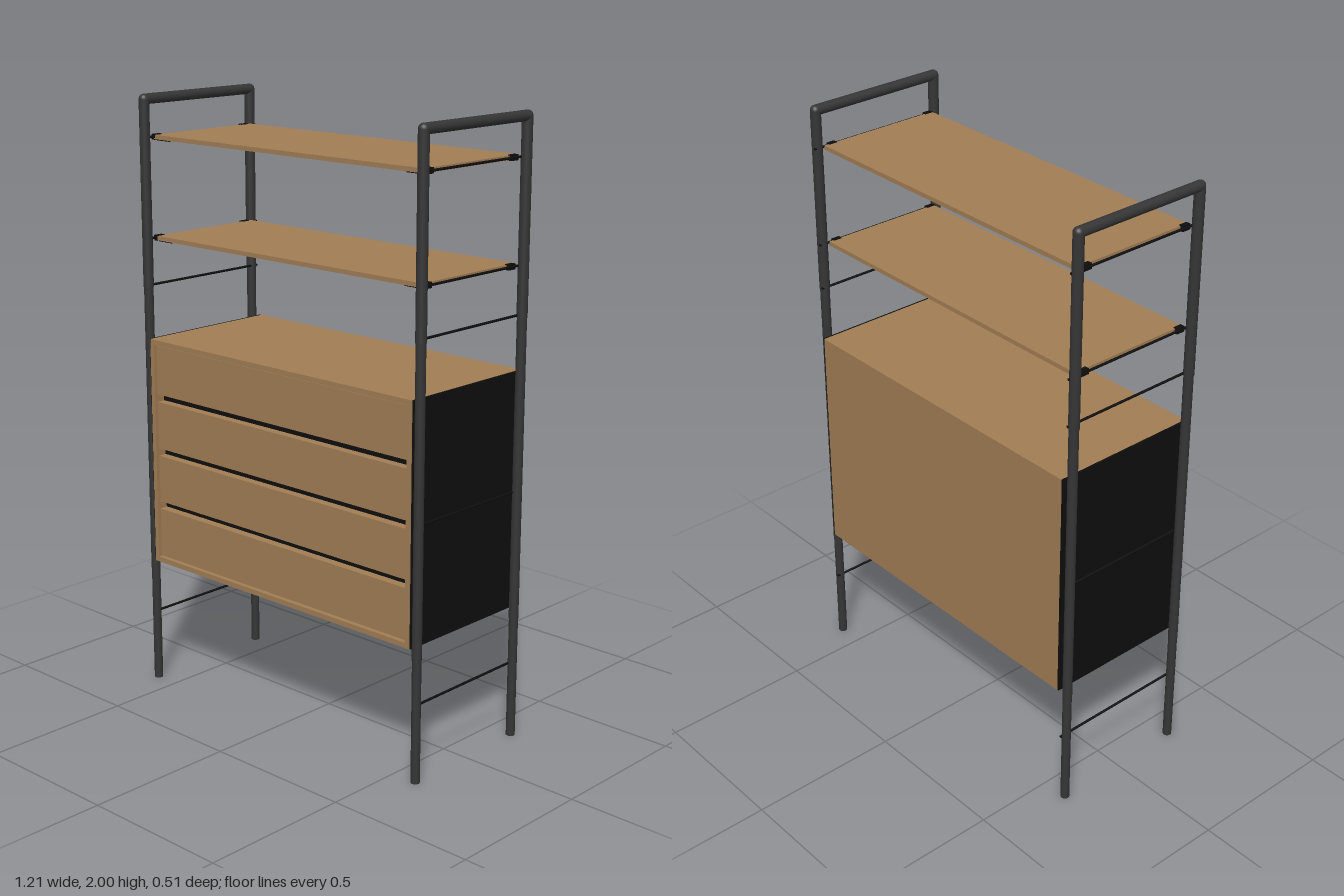
import * as THREE from 'three';

export function createModel() {
  const root = new THREE.Group();
  root.name = 'shelfUnit';
  const mat = (name, color) => {
    const m = new THREE.MeshStandardMaterial({ color });
    m.name = name;
    return m;
  };
  const wood = mat('oakWood', 0xa17d54);
  const steel = mat('darkSteel', 0x353535);
  const black = mat('blackPanel', 0x0e0e0e);

  const add = (name, geo, material, x, y, z, parent = root) => {
    const m = new THREE.Mesh(geo, material);
    m.name = name;
    m.position.set(x, y, z);
    parent.add(m);
    return m;
  };
  // Box given by its min and max corners
  const box = (name, material, x0, x1, y0, y1, z0, z1, parent) =>
    add(name, new THREE.BoxGeometry(x1 - x0, y1 - y0, z1 - z0), material,
      (x0 + x1) / 2, (y0 + y1) / 2, (z0 + z1) / 2, parent);
  // Round bar running front to back
  const barZ = (name, material, r, x, y, z0, z1, parent) => {
    const geo = new THREE.CylinderGeometry(r, r, z1 - z0, 16).rotateX(Math.PI / 2);
    return add(name, geo, material, x, y, (z0 + z1) / 2, parent);
  };

  // Side ladders: two posts, a top rail and thin rungs
  const X = 0.587, ZF = 0.238, ZB = -0.23, TOP = 1.983;
  for (const s of [-1, 1]) {
    const ladder = new THREE.Group();
    ladder.name = s > 0 ? 'leftLadder' : 'rightLadder';
    root.add(ladder);
    for (const z of [ZF, ZB]) {
      // Posts widen slightly in sections towards the top
      for (const [y0, y1, r] of [[0, 0.4, 0.0145], [0.4, 1.375, 0.0155], [1.375, TOP, 0.017]]) {
        add('post', new THREE.CylinderGeometry(r, r, y1 - y0, 20), steel, s * X, (y0 + y1) / 2, z, ladder);
      }
      add('corner', new THREE.SphereGeometry(0.017, 20, 12), steel, s * X, TOP, z, ladder);
    }
    barZ('topRail', steel, 0.017, s * X, TOP, ZB, ZF, ladder);
    for (const y of [0.248, 0.82, 1.382, 1.535, 1.862]) {
      barZ('rung', black, 0.004, s * (X - 0.009), y, -0.247, ZF, ladder);
    }
  }

  // Open shelves with small support clips at the ends
  for (const y of [1.535, 1.862]) {
    box('shelf', wood, -0.57, 0.57, y - 0.007, y + 0.007, -0.215, 0.215);
    for (const s of [-1, 1]) {
      for (const z of [-0.185, 0.2]) {
        box('shelfClip', black, s * 0.572 - 0.008, s * 0.572 + 0.008, y - 0.009, y + 0.009, z - 0.015, z + 0.015);
        box('clipPlate', black, s * 0.53 - 0.03, s * 0.53 + 0.03, y - 0.01, y - 0.006, z - 0.012, z + 0.012);
      }
    }
  }

  // Cabinet carcass
  const cab = new THREE.Group();
  cab.name = 'cabinet';
  root.add(cab);
  const W = 0.568, B = 0.435, T = 1.205, F = 0.254, K = -0.257, t = 0.017;
  box('cabinetTop', wood, -W, W, T - t, T, K, F, cab);
  box('cabinetBottom', wood, -W, W, B, B + t, K, F, cab);
  box('cabinetBack', wood, -W, W, B + t, T - t, K, K + 0.012, cab);
  box('drawerShadow', black, -W + t, W - t, B + t, T - t, 0.21, 0.215, cab);
  for (const s of [-1, 1]) {
    const x = s * (W - t / 2);
    box('cabinetSide', wood, x - t / 2, x + t / 2, B + t, T - t, K + 0.012, F, cab);
    // Black cladding on the outer side
    const p = s * (W + 0.003);
    box('sideCladding', black, p - 0.003, p + 0.003, B, T, K + 0.002, F - 0.004, cab);
  }

  // Drawer fronts, separated by dark finger gaps
  const gaps = [0.635, 0.82, 1.006];
  const lows = [B + t + 0.004, ...gaps.map((g) => g + 0.013)];
  const highs = [...gaps.map((g) => g - 0.013), T - t - 0.004];
  lows.forEach((y, i) => {
    box('drawerFront', wood, -W + t + 0.003, W - t - 0.003, y, highs[i], 0.216, 0.245, cab);
  });

  return root;
}
